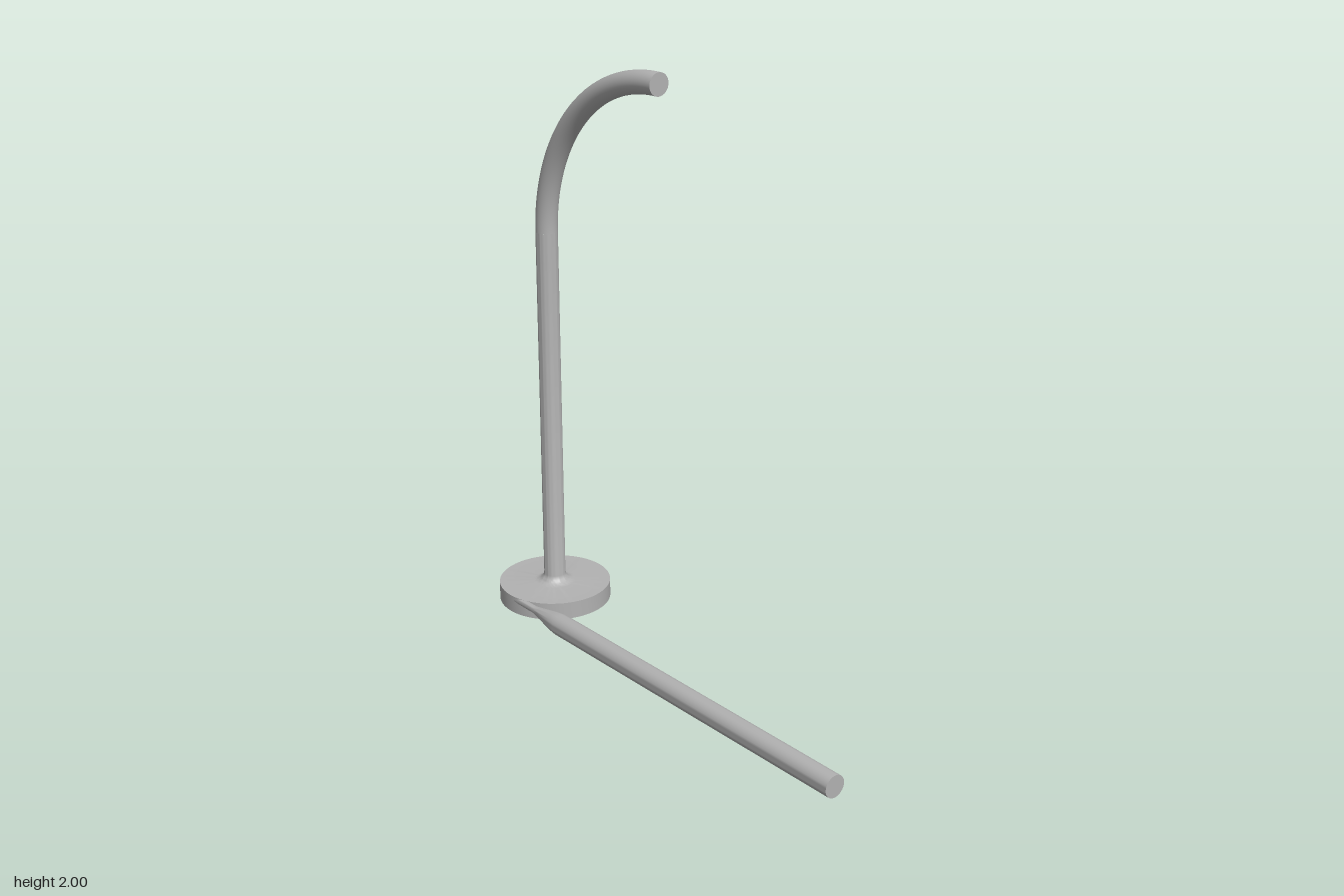
import * as THREE from 'three';
import { toCreasedNormals } from 'three/addons/utils/BufferGeometryUtils.js';

const POST_X = -0.72, POST_Z = -0.012, TUBE_R = 0.038;
const BASE_R = 0.198, BASE_H = 0.062, BEND_R = 0.6, BEND_Y = 1.362;

// Revolve a profile of [radius, height] pairs, keeping sharp corners sharp
function turned(profile, segments = 64) {
  const points = profile.map(([r, y]) => new THREE.Vector2(r, y));
  return toCreasedNormals(new THREE.LatheGeometry(points, segments), 0.6);
}

export function createModel() {
  const group = new THREE.Group();
  const grey = new THREE.MeshStandardMaterial({ color: 0xb2b2b2 });
  grey.name = 'grey';

  const add = (name, geometry, x, y, z) => {
    const mesh = new THREE.Mesh(geometry, grey);
    mesh.name = name;
    mesh.position.set(x, y, z);
    group.add(mesh);
  };

  // Round base with a small hole underneath, filleted into the upright post
  const fillet = 0.036;
  const profile = [[0, 0.02], [0.009, 0.02], [0.009, 0], [BASE_R, 0], [BASE_R, BASE_H]];
  for (let i = 0; i <= 8; i++) {
    const a = (i / 8) * Math.PI / 2;
    profile.push([
      TUBE_R + fillet * (1 - Math.sin(a)),
      BASE_H + fillet * (1 - Math.cos(a)),
    ]);
  }
  profile.push([TUBE_R, BEND_Y]);
  add('baseAndPost', turned(profile), POST_X, 0, POST_Z);

  // Quarter-circle bend at the top of the post
  const bend = new THREE.TorusGeometry(BEND_R, TUBE_R, 32, 48, Math.PI / 2);
  bend.rotateZ(Math.PI / 2);
  add('bend', bend, POST_X + BEND_R, BEND_Y, POST_Z);

  // Flat end of the bend
  const cap = new THREE.CircleGeometry(TUBE_R, 32);
  cap.rotateY(Math.PI / 2);
  add('bendEnd', cap, POST_X + BEND_R, BEND_Y + BEND_R, POST_Z);

  // Loose rod lying beside the base, its thin tapered tip entering the rim
  const rod = turned([
    [0, -0.72], [0.013, -0.72], [0.013, -0.59], [0.018, -0.56],
    [0.034, -0.475], [TUBE_R, -0.44], [TUBE_R, 0.915], [0, 0.915],
  ], 32);
  rod.rotateZ(-Math.PI / 2);
  add('rod', rod, 0, 0.049, 0.172);

  return group;
}
